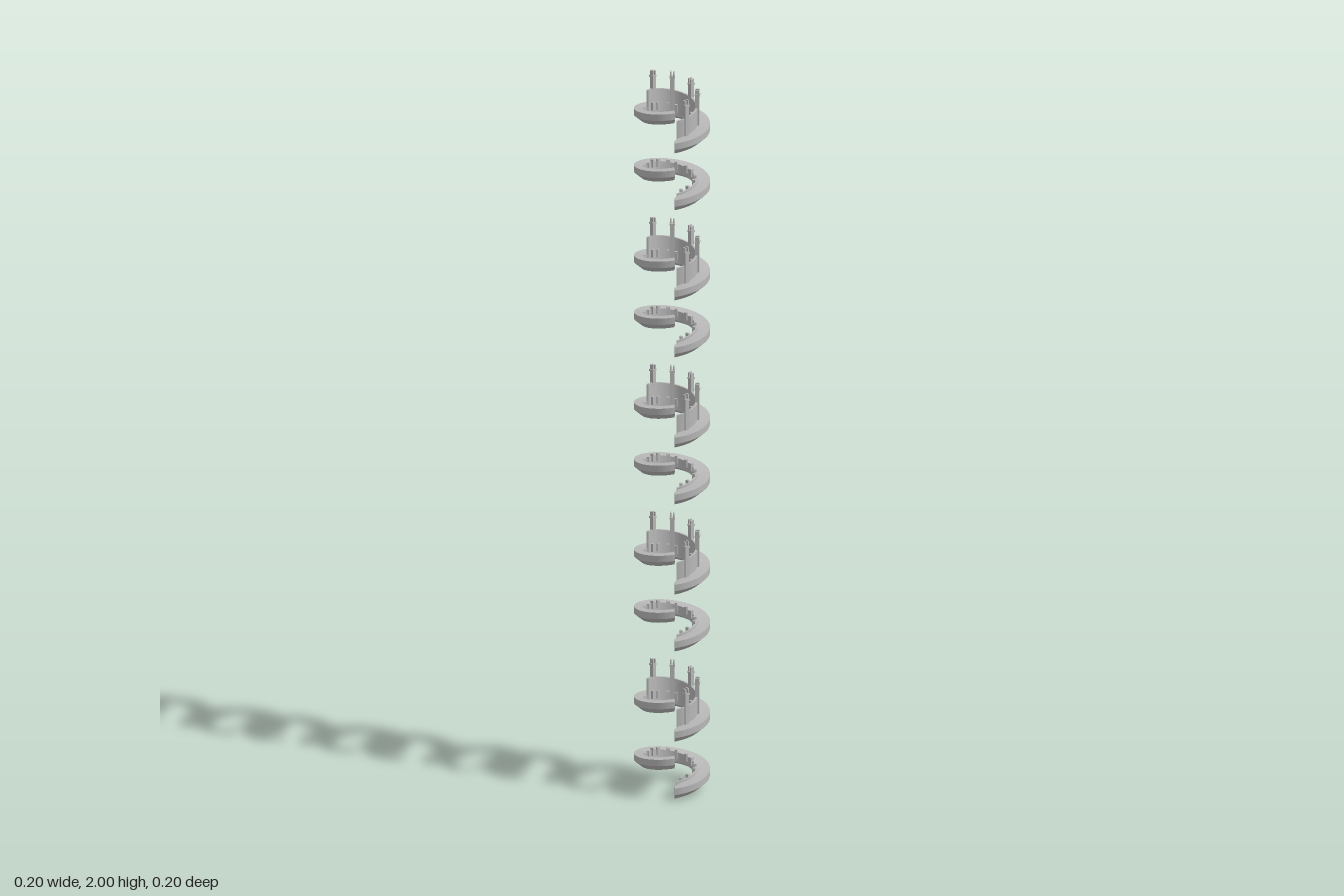
import * as THREE from 'three';

const START = -33 * Math.PI / 180;   // seam angle of every turn
const RISE = 0.085;                  // climb of one turn
const DECK = 0.035;                  // deck height above the underside
const PERIOD = 0.4135;               // height of one storey
const UPPER = 0.16;                  // upper turn above lower turn
const POSTS = [-4, 46, 94, 142, 191];

const stone = new THREE.MeshStandardMaterial({ color: 0xb8b8b8, side: THREE.DoubleSide });
stone.name = 'grey stone';
stone.flatShading = true;

const rad = (deg) => deg * Math.PI / 180;
const climb = (a) => RISE * (a - START) / (Math.PI * 2);

// Sweeps a counter-clockwise [radius, height] section up the helix from angle a0 to a1
function helixSweep(section, a0, a1, steps) {
  const pos = [], idx = [];
  let n = 0;
  for (let i = 0; i <= steps; i++) {
    const a = a0 + (a1 - a0) * i / steps;
    const ring = section(a);
    n = ring.length;
    for (const [r, y] of ring) pos.push(r * Math.cos(a), y + climb(a), -r * Math.sin(a));
  }
  for (let i = 0; i < steps; i++) {
    for (let j = 0; j < n; j++) {
      const a = i * n + j, b = i * n + (j + 1) % n;
      idx.push(a, a + n, b, b, a + n, b + n);
    }
  }
  const end = steps * n;
  for (let j = 1; j < n - 1; j++) {
    idx.push(0, j, j + 1, end, end + j + 1, end + j);
  }
  const g = new THREE.BufferGeometry();
  g.setAttribute('position', new THREE.Float32BufferAttribute(pos, 3));
  g.setIndex(idx);
  g.computeVertexNormals();
  return g;
}

// Deck is wider inward except along the open front
function deckSection(a) {
  const d = (a - START) * 180 / Math.PI;
  const wide = THREE.MathUtils.smoothstep(d, 6, 10) * (1 - THREE.MathUtils.smoothstep(d, 258, 272));
  const inner = 0.078 - 0.014 * wide;
  return [[inner, 0.012], [0.08, 0], [0.1, 0.017], [0.1, DECK], [inner, DECK]];
}

const rampGeo = helixSweep(deckSection, START, START + Math.PI * 2, 72);
const wallGeo = helixSweep(
  () => [[0.062, 0.012], [0.068, 0.012], [0.068, DECK + 0.048], [0.062, DECK + 0.048]],
  rad(-27), rad(226), 50);
const curbGeo = helixSweep(
  () => [[0.061, 0.012], [0.068, 0.012], [0.068, DECK + 0.004], [0.061, DECK + 0.004]],
  rad(-27), rad(226), 50);

// Places a box at a polar spot, turned to face outward
function polarBox(name, w, h, d, r, deg, y) {
  const a = rad(deg);
  const m = new THREE.Mesh(new THREE.BoxGeometry(w, h, d), stone);
  m.name = name;
  m.position.set(r * Math.cos(a), y + climb(a), -r * Math.sin(a));
  m.rotation.y = a;
  return m;
}

function mesh(name, geo) {
  const m = new THREE.Mesh(geo, stone);
  m.name = name;
  return m;
}

// Short blocks on the inner edge either side of each post
function addBlocks(group) {
  for (const p of POSTS) {
    for (const side of [-1, 1]) {
      group.add(polarBox('innerBlock', 0.008, 0.022, 0.007, 0.06, p + side * 10, DECK));
    }
  }
}

function lowerTurn() {
  const g = new THREE.Group();
  g.name = 'lowerTurn';
  g.add(mesh('lowerRamp', rampGeo), mesh('curb', curbGeo));
  addBlocks(g);
  return g;
}

function upperTurn() {
  const g = new THREE.Group();
  g.name = 'upperTurn';
  g.add(mesh('upperRamp', rampGeo), mesh('parapetWall', wallGeo));
  addBlocks(g);
  for (const p of POSTS) {
    const post = new THREE.Group();
    post.name = 'post';
    post.add(polarBox('postShaft', 0.011, 0.105, 0.011, 0.067, p, DECK + 0.0335));
    post.add(polarBox('postCap', 0.014, 0.005, 0.014, 0.067, p, DECK + 0.0835));
    // small prongs at the two sides of the post head
    for (const s of [-1, 1]) {
      post.add(polarBox('postProng', 0.011, 0.013, 0.004, 0.067, p + s * 3.5, DECK + 0.092));
    }
    g.add(post);
  }
  return g;
}

export function createModel() {
  const model = new THREE.Group();
  model.name = 'spiralRampTower';
  for (let i = 0; i < 5; i++) {
    const storey = new THREE.Group();
    storey.name = 'storey';
    const upper = upperTurn();
    upper.position.y = UPPER;
    storey.add(lowerTurn(), upper);
    storey.position.y = i * PERIOD;
    model.add(storey);
  }
  return model;
}
